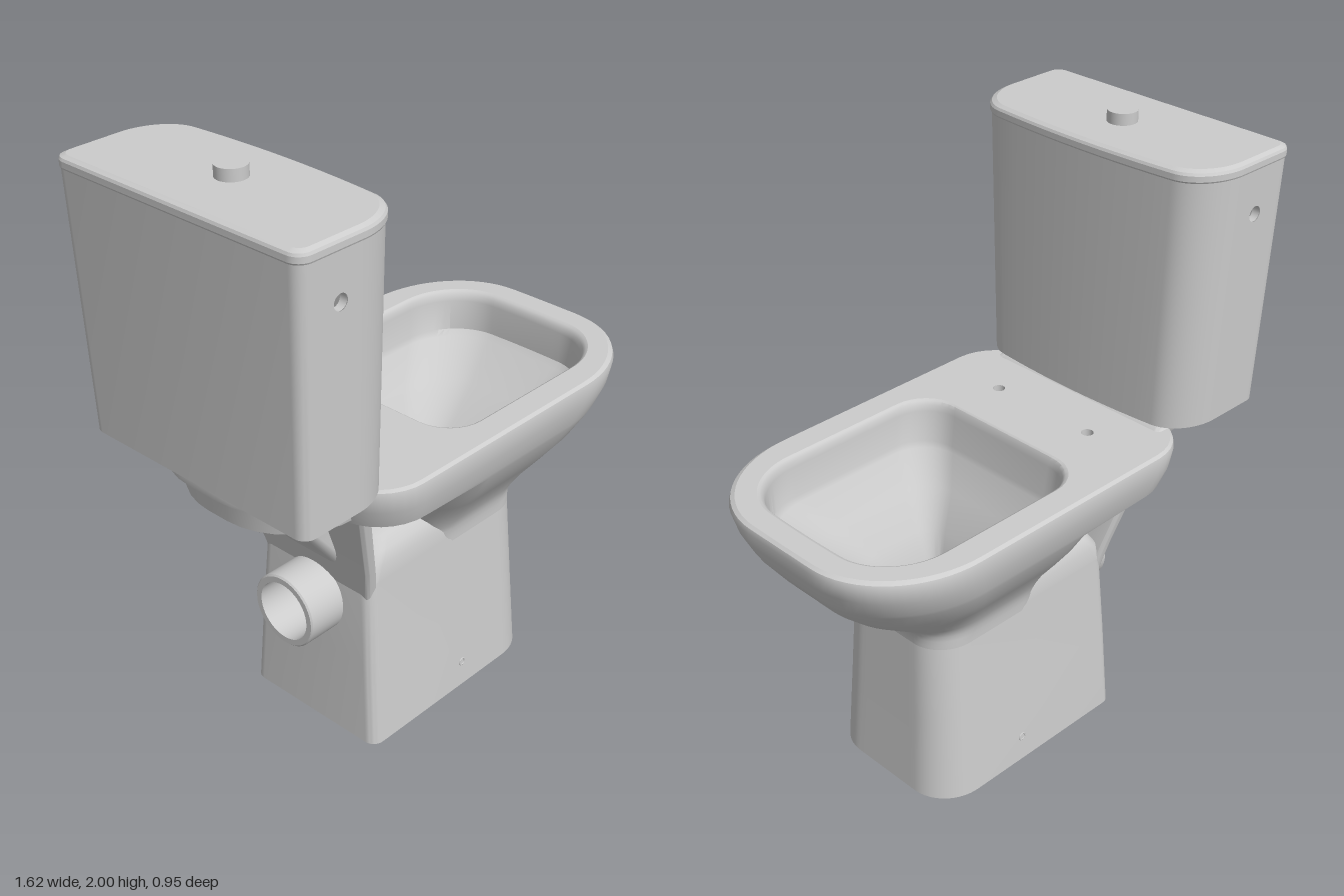
import * as THREE from 'three';
import { toCreasedNormals } from 'three/addons/utils/BufferGeometryUtils.js';

const ceramic = new THREE.MeshStandardMaterial({ color: 0xcccccc, side: THREE.DoubleSide });
ceramic.name = 'ceramic';

const BACK = 8, FRONT = 16, EDGE = 4;

// Rounded outline mirrored in z: back corner radius rb, front corner rx by rz, bowed front.
function ring([y, x0, x1, w, rb, rx, rz, bow = 0]) {
  const half = [];
  for (let i = 0; i <= BACK; i++) {
    const a = (i / BACK) * Math.PI / 2;
    half.push([x0 + rb * (1 - Math.cos(a)), w - rb * (1 - Math.sin(a))]);
  }
  const front = (x, z) => half.push([x - bow * (z / w) ** 2, z]);
  for (let i = 0; i <= FRONT; i++) {
    const a = (i / FRONT) * Math.PI / 2;
    front(x1 - rx * (1 - Math.sin(a)), w - rz * (1 - Math.cos(a)));
  }
  for (let i = 1; i <= EDGE; i++) front(x1, (w - rz) * (1 - i / (EDGE + 1)));
  const mirrored = half.map(([x, z]) => [x, -z]).reverse();
  return [...half, [x1, 0], ...mirrored].map(([x, z]) => new THREE.Vector3(x, y, z));
}

// Skin through outlines; optional caps and open side walls.
function loft(rows, { bottom = false, top = false, openSides = false, crease = 0.6 } = {}) {
  const rings = rows.map(ring), n = rings[0].length, idx = [];
  const pts = rings.flat();
  for (let i = 0; i < rings.length - 1; i++) {
    for (let j = 0; j < n; j++) {
      if (openSides && (j === BACK || j === n - 2 - BACK)) continue;
      const k = (j + 1) % n, a = i * n + j, b = i * n + k;
      idx.push(a, b, b + n, a, b + n, a + n);
    }
  }
  const cap = (r, flip) => {
    const [y, x0, x1] = rows[r], c = pts.length;
    pts.push(new THREE.Vector3((x0 + x1) / 2, y, 0));
    for (let j = 0; j < n; j++) {
      const a = r * n + j, b = r * n + (j + 1) % n;
      idx.push(c, flip ? b : a, flip ? a : b);
    }
  };
  if (bottom) cap(0, true);
  if (top) cap(rows.length - 1, false);
  const g = new THREE.BufferGeometry().setFromPoints(pts);
  g.setIndex(idx);
  return toCreasedNormals(g, crease);
}

function circleHole(x, y, r) {
  const p = new THREE.Path();
  p.absarc(x, y, r, 0, Math.PI * 2, true);
  return p;
}

export function createModel() {
  const model = new THREE.Group();
  const add = (name, geometry) => {
    const m = new THREE.Mesh(geometry, ceramic);
    m.name = name;
    model.add(m);
  };

  // Pedestal: hollow and open at the floor
  add('pedestal', loft([
    [0.6, -0.3, 0.39, 0.21, 0.03, 0.11, 0.1],
    [0, -0.33, 0.425, 0.255, 0.03, 0.13, 0.12],
    [0, -0.35, 0.445, 0.275, 0.04, 0.15, 0.14],
    [0.3, -0.338, 0.428, 0.256, 0.04, 0.14, 0.13],
    [0.58, -0.325, 0.415, 0.236, 0.04, 0.13, 0.12],
    [0.6, -0.323, 0.414, 0.235, 0.04, 0.13, 0.12],
  ]));

  // Sloping shoulder of the pedestal behind the bowl
  add('pedestalShoulder', loft([
    [0.6, -0.323, 0.05, 0.235, 0.04, 0.02, 0.02],
    [0.65, -0.315, 0.04, 0.232, 0.05, 0.02, 0.02],
    [0.69, -0.29, 0.035, 0.218, 0.06, 0.02, 0.02],
    [0.72, -0.26, 0.03, 0.19, 0.06, 0.02, 0.02],
    [0.735, -0.22, 0.025, 0.15, 0.06, 0.02, 0.02],
  ], { top: true }));

  // Bowl outside, flat underside of the seat deck and rim edge
  const rim = [1.08, -0.49, 0.796, 0.435, 0.17, 0.35, 0.3, 0.01];
  add('bowl', loft([
    [0.55, -0.02, 0.414, 0.235, 0.08, 0.13, 0.12],
    [0.59, -0.02, 0.4155, 0.2365, 0.08, 0.13, 0.12],
    [0.61, -0.03, 0.42, 0.238, 0.08, 0.14, 0.13],
    [0.63, -0.035, 0.43, 0.241, 0.09, 0.16, 0.14],
    [0.65, -0.04, 0.45, 0.247, 0.09, 0.18, 0.16],
    [0.67, -0.05, 0.482, 0.256, 0.1, 0.21, 0.18],
    [0.72, -0.07, 0.562, 0.285, 0.12, 0.27, 0.22],
    [0.78, -0.1, 0.637, 0.33, 0.14, 0.31, 0.25],
    [0.85, -0.13, 0.707, 0.38, 0.16, 0.34, 0.28],
    [0.92, -0.17, 0.757, 0.417, 0.18, 0.36, 0.3],
    [0.935, -0.47, 0.765, 0.423, 0.18, 0.36, 0.3],
    [1.0, -0.49, 0.795, 0.443, 0.18, 0.36, 0.31],
    [1.055, -0.5, 0.81, 0.448, 0.18, 0.36, 0.31],
    [1.072, -0.498, 0.806, 0.445, 0.18, 0.36, 0.31],
    rim,
  ]));

  // Flat deck with the bowl opening and two seat fixing holes
  const opening = [1.08, -0.09, 0.725, 0.352, 0.13, 0.22, 0.2, 0.015];
  const flat = (row) => ring(row).map((p) => new THREE.Vector2(p.x, -p.z));
  const deckShape = new THREE.Shape(flat(rim));
  deckShape.holes.push(new THREE.Path(flat(opening)));
  for (const s of [-1, 1]) deckShape.holes.push(circleHole(-0.265, s * 0.195, 0.02));
  add('seatDeck', new THREE.ShapeGeometry(deckShape, 12).rotateX(-Math.PI / 2).translate(0, 1.08, 0));
  for (const s of [-1, 1]) {
    add('seatFixingHole', new THREE.CylinderGeometry(0.02, 0.02, 0.14, 24, 1, true)
      .translate(-0.265, 1.01, s * 0.195));
  }

  // Inside of the bowl, sinking to a square sump
  add('bowlInterior', loft([
    opening,
    [1.076, -0.083, 0.715, 0.345, 0.13, 0.21, 0.19, 0.015],
    [1.065, -0.078, 0.706, 0.339, 0.13, 0.2, 0.19, 0.015],
    [1.045, -0.075, 0.702, 0.336, 0.13, 0.2, 0.19, 0.015],
    [0.94, -0.06, 0.698, 0.333, 0.13, 0.2, 0.19, 0.015],
    [0.92, -0.055, 0.68, 0.325, 0.13, 0.2, 0.18, 0.015],
    [0.82, 0.0, 0.55, 0.255, 0.11, 0.17, 0.15, 0.015],
    [0.7, 0.06, 0.41, 0.185, 0.07, 0.11, 0.1, 0.015],
    [0.6, 0.09, 0.315, 0.137, 0.04, 0.05, 0.05, 0.015],
    [0.45, 0.1, 0.29, 0.125, 0.03, 0.04, 0.04, 0.01],
    [0.28, 0.12, 0.27, 0.1, 0.03, 0.04, 0.04, 0.01],
  ], { top: true }));

  // Rounded underside of the sump inside the pedestal
  add('sump', loft([
    [0.1, 0.12, 0.22, 0.05, 0.05, 0.05, 0.05],
    [0.13, 0.06, 0.28, 0.11, 0.1, 0.1, 0.1],
    [0.19, 0.01, 0.33, 0.16, 0.14, 0.14, 0.14],
    [0.28, -0.01, 0.35, 0.18, 0.15, 0.15, 0.15],
    [0.45, -0.01, 0.36, 0.185, 0.15, 0.15, 0.15],
    [0.6, 0.01, 0.37, 0.19, 0.15, 0.15, 0.15],
  ], { bottom: true, crease: 1 }));

  // Rear ledge carrying the cistern
  add('cisternLedge', loft([
    [0.935, -0.69, -0.4, 0.28, 0.24, 0.02, 0.02],
    [0.95, -0.71, -0.4, 0.3, 0.26, 0.02, 0.02],
    [1.04, -0.725, -0.4, 0.32, 0.27, 0.02, 0.02],
    [1.05, -0.76, -0.4, 0.345, 0.29, 0.02, 0.02],
    [1.08, -0.765, -0.42, 0.355, 0.29, 0.02, 0.02],
    [1.102, -0.76, -0.47, 0.335, 0.27, 0.02, 0.02],
  ], { bottom: true, top: true }));

  // Sloping trapway and cross rib behind the bowl
  add('trapway', loft([
    [0.58, -0.32, 0.0, 0.14, 0.05, 0.03, 0.03],
    [0.64, -0.345, -0.02, 0.135, 0.05, 0.03, 0.03],
    [0.8, -0.48, -0.07, 0.13, 0.05, 0.03, 0.03],
    [0.94, -0.61, -0.12, 0.13, 0.05, 0.03, 0.03],
  ]));
  add('rearRib', loft([
    [0.54, -0.322, -0.275, 0.225, 0.015, 0.015, 0.015],
    [0.66, -0.35, -0.305, 0.25, 0.015, 0.015, 0.015],
    [0.94, -0.44, -0.39, 0.31, 0.015, 0.015, 0.015],
  ]));

  // Hollow outlet pipe
  const pipe = [[0.1, 0], [0.1, 0.15], [0.12, 0.15], [0.125, 0.145], [0.125, 0]]
    .map(([r, h]) => new THREE.Vector2(r, h));
  add('outletPipe', toCreasedNormals(
    new THREE.LatheGeometry(pipe, 48).rotateZ(Math.PI / 2).translate(-0.317, 0.47, 0), 0.6));

  // Floor fixing points
  for (const s of [-1, 1]) {
    add('floorFixing', new THREE.TorusGeometry(0.012, 0.003, 8, 20).translate(0.085, 0.09, s * 0.269));
  }

  // Cistern body with a water inlet hole through each side
  const low = [1.1, -0.79, -0.4, 0.442, 0.04, 0.15, 0.12, 0.03];
  const high = [1.93, -0.81, -0.397, 0.47, 0.04, 0.16, 0.125, 0.03];
  add('cistern', loft([low, high], { bottom: true, openSides: true }));
  const backX = (r) => r[1] + r[4], frontX = (r) => r[2] - r[5] - r[7];
  const side = new THREE.Shape([
    new THREE.Vector2(backX(low), low[0]), new THREE.Vector2(frontX(low), low[0]),
    new THREE.Vector2(frontX(high), high[0]), new THREE.Vector2(backX(high), high[0]),
  ]);
  side.holes.push(circleHole(-0.665, 1.78, 0.025));
  for (const s of [-1, 1]) {
    const g = new THREE.ShapeGeometry(side, 16), p = g.attributes.position;
    for (let i = 0; i < p.count; i++) {
      const t = (p.getY(i) - low[0]) / (high[0] - low[0]);
      p.setZ(i, s * THREE.MathUtils.lerp(low[3], high[3], t));
    }
    if (s < 0) g.setIndex([...g.index.array].reverse());
    g.computeVertexNormals();
    add('cisternSide', g);
    add('inletHole', new THREE.CylinderGeometry(0.025, 0.025, 0.025, 24, 1, true)
      .rotateX(Math.PI / 2).translate(-0.665, 1.78, s * 0.45));
  }

  // Lid with softened edge, and flush button
  add('cisternLid', loft([
    [1.925, -0.812, -0.395, 0.472, 0.045, 0.16, 0.125, 0.03],
    [1.93, -0.814, -0.393, 0.474, 0.045, 0.16, 0.125, 0.03],
    [1.948, -0.814, -0.393, 0.474, 0.045, 0.16, 0.125, 0.03],
    [1.956, -0.81, -0.397, 0.47, 0.04, 0.16, 0.125, 0.03],
    [1.963, -0.796, -0.41, 0.457, 0.035, 0.15, 0.12, 0.03],
  ], { bottom: true, top: true, crease: 0.3 }));
  add('flushButton', new THREE.CylinderGeometry(0.048, 0.048, 0.05, 40).translate(-0.592, 1.975, 0));

  return model;
}
